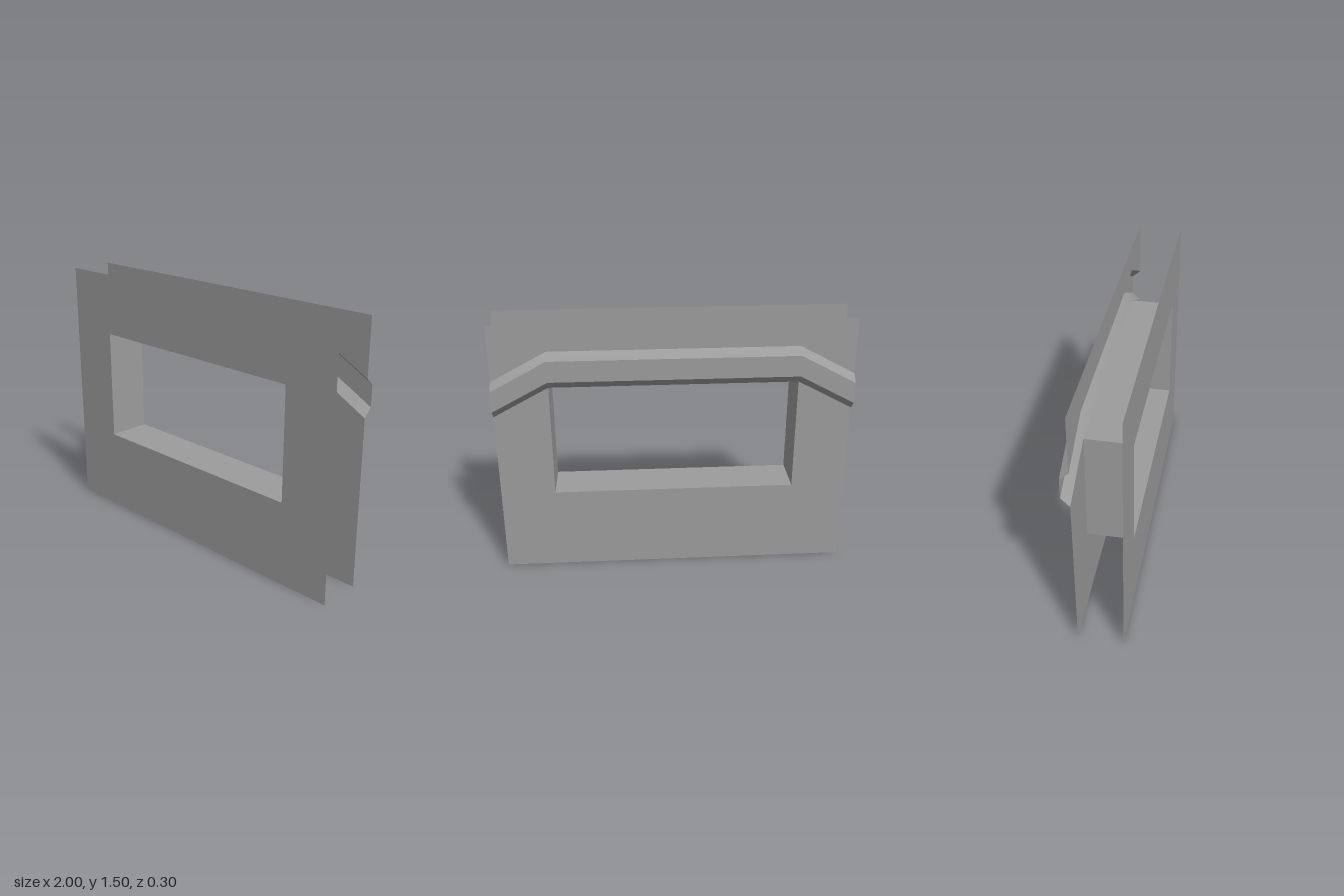
import * as THREE from 'three';

const FRONT = 0.15, BACK = -0.103, H = 1.505;    // wall skins and height
const OX = 0.69, OY0 = 0.487, OY1 = 1.142;       // window opening
const DROP = 0.167;                              // fall of the hood towards its ends
const HOOD_H = 0.208;                            // hood height on the wall

const material = new THREE.MeshStandardMaterial({ color: 0x9c9c9c, side: THREE.DoubleSide });

function add(group, name, geometry) {
  const mesh = new THREE.Mesh(geometry, material);
  mesh.name = name;
  group.add(mesh);
}

const toShape = pts => new THREE.Shape(pts.map(p => new THREE.Vector2(...p)));

// Flat sheet at depth z; turned sheets face backwards (outline is symmetric in x)
function sheet(pts, z, turned, hole) {
  const shape = toShape(pts);
  if (hole) shape.holes.push(toShape(hole));
  const g = new THREE.ShapeGeometry(shape);
  if (turned) g.rotateY(Math.PI);
  return g.translate(0, 0, z);
}

// Strips through successive cross-sections: smooth along the path, sharp between strips
function loft(sections, closed = false) {
  const pos = [], index = [];
  const count = sections[0].length;
  for (let j = 0; j < (closed ? count : count - 1); j++) {
    sections.forEach((s, i) => {
      const v = pos.length / 3;
      pos.push(...s[j], ...s[(j + 1) % count]);
      if (i > 0) index.push(v - 2, v, v + 1, v - 2, v + 1, v - 1);
    });
  }
  const g = new THREE.BufferGeometry();
  g.setAttribute('position', new THREE.Float32BufferAttribute(pos, 3));
  g.setIndex(index);
  g.computeVertexNormals();
  return g;
}

export function createModel() {
  const group = new THREE.Group();
  group.name = 'windowWall';
  const opening = [[-OX, OY0], [OX, OY0], [OX, OY1], [-OX, OY1]];

  // Front skin with the opening
  add(group, 'frontWall', sheet([[-1, 0], [1, 0], [1, H], [-1, H]], FRONT, false, opening));

  // Back skin, split by the hollow hood
  add(group, 'backWallLower', sheet([
    [-1, 0], [1, 0], [1, OY1 - DROP], [OX, OY1], [OX, OY0],
    [-OX, OY0], [-OX, OY1], [-1, OY1 - DROP],
  ], BACK, true));
  const top = OY1 + HOOD_H;
  add(group, 'backWallUpper', sheet([
    [-1, top - DROP], [-OX, top], [OX, top], [1, top - DROP], [1, H], [-1, H],
  ], BACK, true));

  // Four inner faces of the opening
  add(group, 'windowReveal', loft(
    [BACK, FRONT].map(z => opening.map(([x, y]) => [x, y, z])), true));

  // Chamfered hood over the opening, open at both ends
  const profile = [[0, BACK], [0.048, -0.15], [0.168, -0.15], [HOOD_H, BACK]];
  const path = [[-1, OY1 - DROP], [-OX, OY1], [OX, OY1], [1, OY1 - DROP]];
  add(group, 'windowHood', loft(
    path.map(([x, y]) => profile.map(([dy, z]) => [x, y + dy, z]))));

  return group;
}
